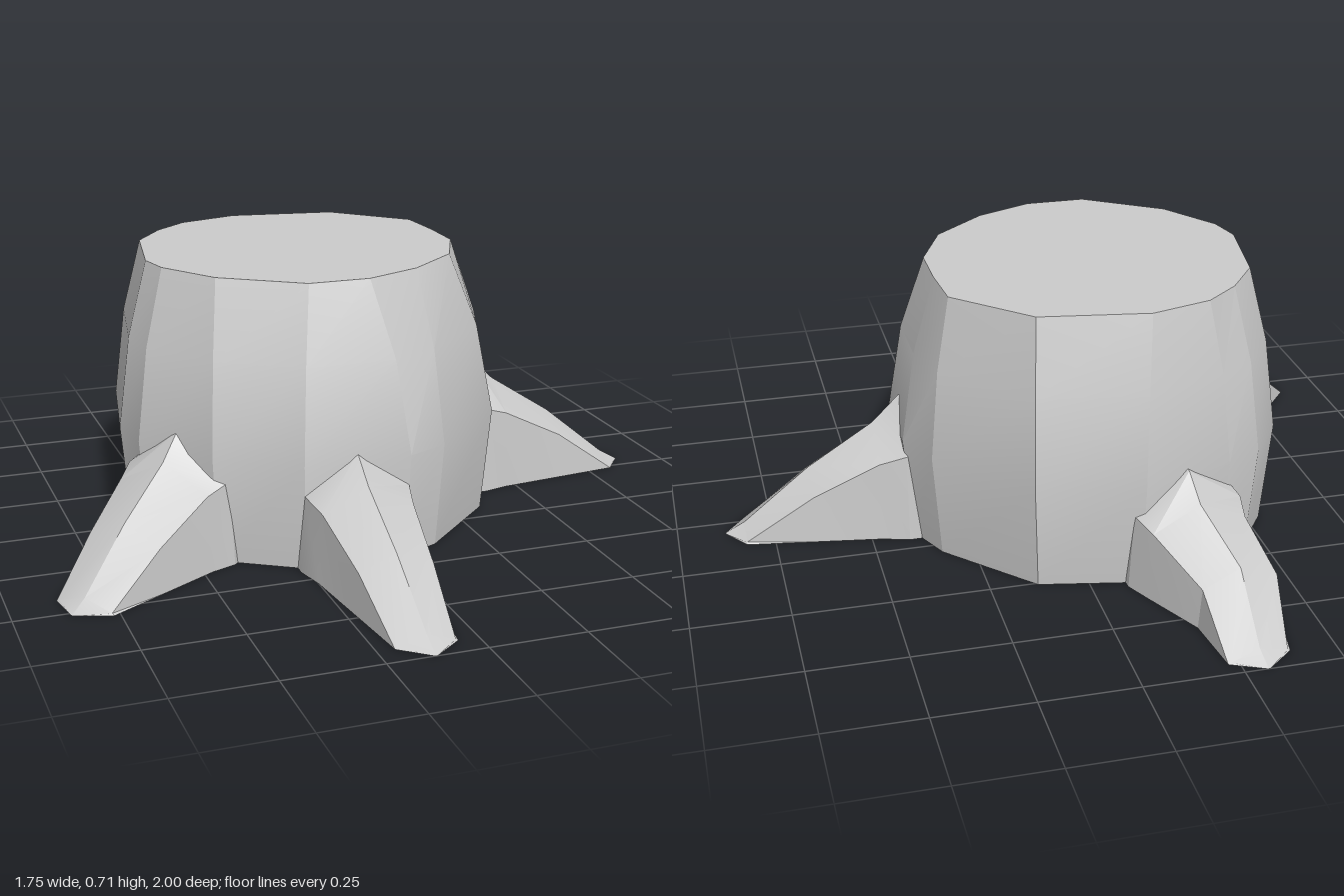
import * as THREE from 'three';
import { toCreasedNormals } from 'three/addons/utils/BufferGeometryUtils.js';

const material = new THREE.MeshStandardMaterial({ color: 0xcccccc });

// Skin a list of closed rings (arrays of Vector3) and cap both ends
function loft(rings, crease) {
  const pos = [];
  const tri = (...pts) => {
    const area = new THREE.Triangle(...pts).getArea();
    if (area > 1e-7) pts.forEach((p) => pos.push(p.x, p.y, p.z));
  };
  const centre = (ring) =>
    ring.reduce((s, p) => s.add(p), new THREE.Vector3()).divideScalar(ring.length);
  const n = rings[0].length;
  const last = rings[rings.length - 1];
  const c0 = centre(rings[0]);
  const c1 = centre(last);
  for (let i = 0; i < n; i++) {
    const j = (i + 1) % n;
    for (let k = 0; k < rings.length - 1; k++) {
      const a = rings[k][i], b = rings[k][j], c = rings[k + 1][j], d = rings[k + 1][i];
      tri(a, d, b);
      tri(b, d, c);
    }
    tri(c0, rings[0][i], rings[0][j]);
    tri(c1, last[j], last[i]);
  }
  const g = new THREE.BufferGeometry();
  g.setAttribute('position', new THREE.Float32BufferAttribute(pos, 3));
  return toCreasedNormals(g, crease);
}

// Trunk outline as [x, z] at the sawn top and at the widest level
const sawn = [
  [-0.16, -0.5], [0.12, -0.455], [0.3, -0.28], [0.31, -0.14], [0.31, 0], [0.24, 0.16],
  [0.1, 0.28], [-0.05, 0.345], [-0.21, 0.345], [-0.41, 0.21], [-0.51, 0.06],
  [-0.53, -0.03], [-0.49, -0.27], [-0.41, -0.38], [-0.32, -0.455],
];
const wide = [
  [-0.13, -0.585], [0.14, -0.53], [0.355, -0.3], [0.41, -0.18], [0.41, 0.04], [0.36, 0.19],
  [0.13, 0.41], [0.02, 0.46], [-0.26, 0.455], [-0.46, 0.33], [-0.6, 0.13],
  [-0.62, 0], [-0.56, -0.32], [-0.47, -0.45], [-0.375, -0.5],
];

function trunkRing(y, mix, scale) {
  return sawn.map(([x, z], i) => {
    const px = THREE.MathUtils.lerp(x, wide[i][0], mix);
    const pz = THREE.MathUtils.lerp(z, wide[i][1], mix);
    return new THREE.Vector3(-0.11 + (px + 0.11) * scale, y, -0.06 + (pz + 0.06) * scale);
  });
}

// Root stations: [distance along root, half width, ridge height, shoulder height]
const stations = [
  [-0.25, 0.14, 0.33, 0.22],
  [0, 0.145, 0.3, 0.2],
  [0.15, 0.125, 0.24, 0.18],
  [0.52, 0.1, 0.145, 0.105],
  [0.89, 0.075, 0.025, 0.004],
  [1, 0.003, 0, 0],
];

function rootGeometry({ start, tip, width = 1, height = 1, bend = 0 }) {
  const a = new THREE.Vector2(...start);
  const dir = new THREE.Vector2(...tip).sub(a);
  const side = new THREE.Vector2(dir.y, -dir.x).normalize();
  const rings = stations.map(([t, w, ridge, shoulder], k) => {
    const off = k === 3 ? bend : 0;
    const at = (s, y) => new THREE.Vector3(
      a.x + dir.x * t + side.x * (s * width + off), y,
      a.y + dir.y * t + side.y * (s * width + off));
    return [
      at(-w, 0), at(-w * 0.92, shoulder * height), at(0, ridge * height),
      at(w * 0.92, shoulder * height), at(w, 0),
    ];
  });
  return loft(rings, 0.3);
}

const roots = {
  frontRoot: { start: [-0.12, 0.45], tip: [-0.13, 1], width: 1.03 },
  leftRoot: { start: [0.4, -0.065], tip: [0.875, -0.055], height: 1.2, width: 0.97 },
  backRoot: { start: [-0.25, -0.55], tip: [-0.31, -1], width: 1.1, bend: 0.03 },
  frontRightRoot: { start: [-0.52, 0.22], tip: [-0.86, 0.515], width: 1.15, height: 1.1 },
};

export function createModel() {
  const group = new THREE.Group();
  group.name = 'treeStump';

  // Faceted trunk with a flat sawn top
  const rings = [
    trunkRing(0, 1, 0.95), trunkRing(0.28, 1, 1), trunkRing(0.52, 0.62, 1), trunkRing(0.715, 0, 1),
  ];
  const trunk = new THREE.Mesh(loft(rings, 0.3), material);
  trunk.name = 'trunk';
  group.add(trunk);

  // Ridged roots spreading out to the ground
  for (const [name, spec] of Object.entries(roots)) {
    const root = new THREE.Mesh(rootGeometry(spec), material);
    root.name = name;
    group.add(root);
  }
  return group;
}
